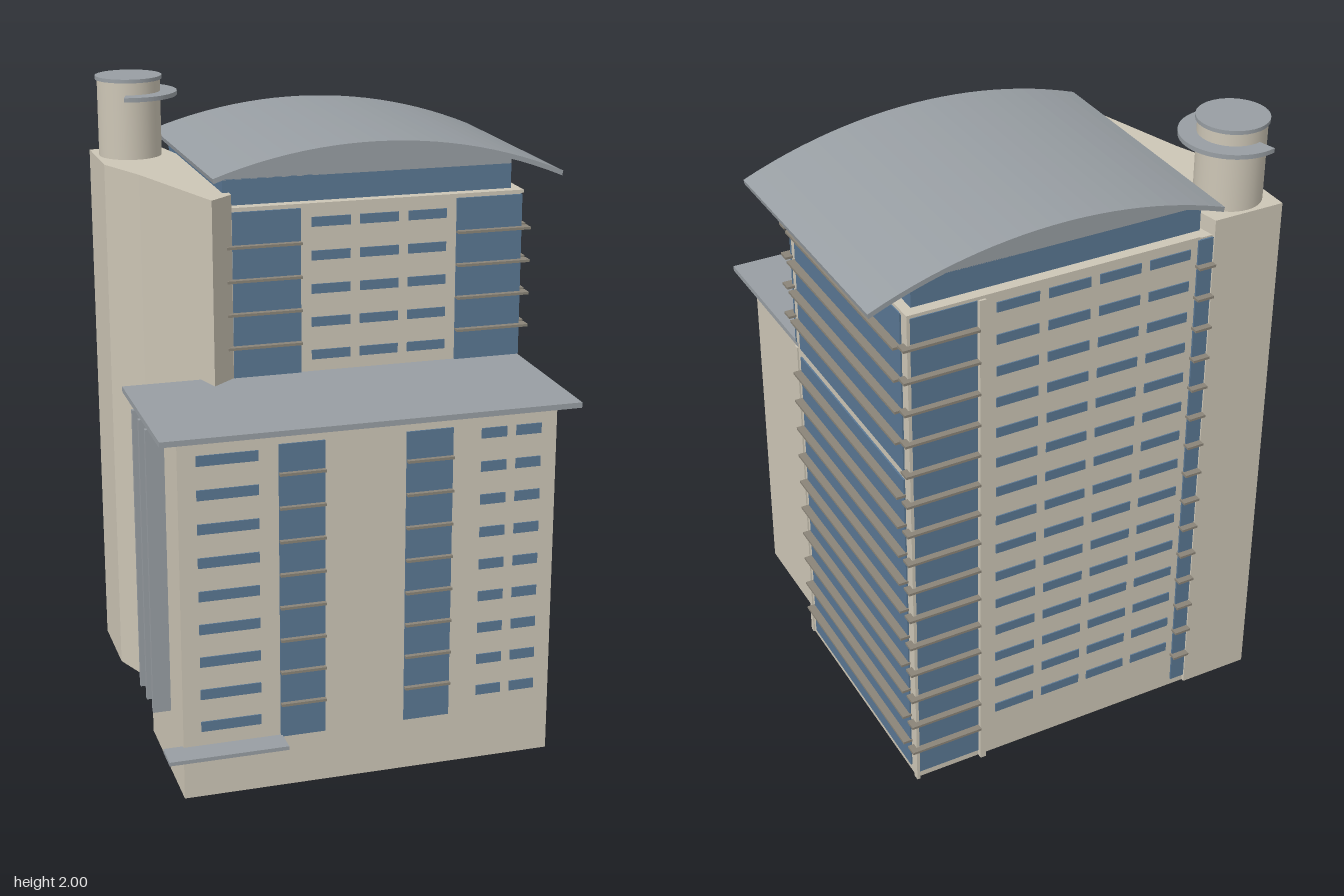
import * as THREE from 'three';

const paint = (name, color, side = THREE.FrontSide) => {
  const m = new THREE.MeshStandardMaterial({ color, side });
  m.name = name;
  return m;
};

export function createModel() {
  const model = new THREE.Group();
  model.name = 'building';
  const wall = paint('beige wall', 0xcdc6b6, THREE.DoubleSide);
  const metal = paint('grey roof', 0x989ea3);
  const glass = paint('blue glass', 0x5a7793);
  const trim = paint('louver brown', 0x8a8478);

  const add = (name, geometry, material) => {
    const mesh = new THREE.Mesh(geometry, material);
    mesh.name = name;
    model.add(mesh);
    return mesh;
  };
  // Box given by its limits on each axis
  const box = (name, material, x0, x1, y0, y1, z0, z1) => {
    const mesh = add(name, new THREE.BoxGeometry(x1 - x0, y1 - y0, z1 - z0), material);
    mesh.position.set((x0 + x1) / 2, (y0 + y1) / 2, (z0 + z1) / 2);
    return mesh;
  };
  // Upright hollow shell from an (x, z) outline, open at the ground
  const shell = (name, outline, height) => {
    const shape = new THREE.Shape(outline.map(([x, z]) => new THREE.Vector2(x, -z)));
    const full = new THREE.ExtrudeGeometry(shape, { depth: height, bevelEnabled: false });
    full.rotateX(-Math.PI / 2);
    const p = full.toNonIndexed ? (full.index ? full.toNonIndexed() : full).attributes.position : null;
    const kept = [];
    for (let i = 0; i < p.count; i += 3) {
      if (Math.max(p.getY(i), p.getY(i + 1), p.getY(i + 2)) < 1e-5) continue;
      for (let k = i; k < i + 3; k++) kept.push(p.getX(k), p.getY(k), p.getZ(k));
    }
    const g = new THREE.BufferGeometry();
    g.setAttribute('position', new THREE.Float32BufferAttribute(kept, 3));
    g.computeVertexNormals();
    return add(name, g, wall);
  };
  const rect = (x0, x1, z0, z1) => [[x0, z0], [x0, z1], [x1, z1], [x1, z0]];
  const step = 0.105;

  // Main volumes
  const xL = -0.41, xR = 0.57, zB = -0.645, zF = 0.16;
  shell('tower', rect(xL, xR, zB, zF), 1.69);
  shell('frontBlock', rect(-0.64, 0.525, 0.15, 0.61), 1.15);
  shell('sideWing', [[-0.64, -0.655], [-0.64, -0.39], [-0.565, -0.2], [-0.435, 0.23],
    [-0.36, 0.165], [-0.36, -0.4], [-0.41, -0.655]], 1.74);
  box('towerCap', wall, -0.36, 0.575, 1.69, 1.7, -0.655, 0.17);

  // Tower corner posts and back pier
  box('frontCornerPost', wall, 0.535, 0.575, 0, 1.15, 0.15, 0.167);
  box('backCornerPost', wall, 0.565, 0.575, 0, 1.69, -0.655, -0.635);
  box('backPier', wall, 0.335, 0.355, 0, 1.69, -0.662, -0.64);

  // Right side glazing
  box('sideGlassLower', glass, xR, 0.575, 0.025, 1.13, -0.61, 0.125);
  box('sideGlassUpper', glass, xR, 0.575, 1.16, 1.685, -0.61, 0.125);
  for (let i = 0; i < 14; i++) {
    const y = i < 10 ? 0.13 + i * step : 1.265 + (i - 10) * step;
    box('sideLouver', trim, 0.565, 0.6, y - 0.004, y + 0.004, -0.615, 0.13);
  }

  // Tower front above the low roof
  for (const [x0, x1, l0, l1] of [[-0.358, -0.145, -0.38, -0.145], [0.357, 0.572, 0.357, 0.595]]) {
    box('towerFrontGlass', glass, x0, x1, 1.165, 1.685, zF, 0.167);
    for (let i = 0; i < 4; i++) {
      const y = 1.265 + i * step;
      box('towerFrontLouver', trim, l0, l1, y - 0.004, y + 0.004, 0.15, 0.187);
    }
  }
  for (let i = 0; i < 5; i++) {
    const y = 1.22 + i * step;
    for (const x of [-0.11, 0.045, 0.2])
      box('towerFrontWindow', glass, x, x + 0.124, y - 0.015, y + 0.015, zF, 0.164);
  }

  // Tower back
  for (const [x0, x1, l0, l1] of [[0.357, 0.565, 0.357, 0.595], [-0.41, -0.36, -0.41, -0.355]]) {
    box('backGlass', glass, x0, x1, 0.025, 1.685, -0.651, zB);
    for (let i = 0; i < 15; i++) {
      const y = 0.13 + i * step;
      box('backLouver', trim, l0, l1, y - 0.004, y + 0.004, -0.672, -0.635);
    }
  }
  for (let i = 0; i < 15; i++) {
    const y = 0.175 + i * step;
    for (const x of [-0.335, -0.17, -0.005, 0.16])
      box('backWindow', glass, x, x + 0.135, y - 0.016, y + 0.016, -0.649, zB);
  }

  // Low block front
  for (let i = 0; i < 9; i++) {
    const y = 0.232 + i * step;
    for (const [x0, x1] of [[-0.585, -0.4], [0.285, 0.365], [0.395, 0.475]])
      box('frontWindow', glass, x0, x1, y - 0.016, y + 0.016, 0.61, 0.614);
  }
  for (const [x0, x1] of [[-0.34, -0.2], [0.05, 0.195]]) {
    box('frontGlassStrip', glass, x0, x1, 0.165, 1.1, 0.61, 0.615);
    for (let i = 0; i < 8; i++) {
      const y = 0.275 + i * step;
      box('frontLouver', trim, x0, x1, y - 0.004, y + 0.004, 0.6, 0.63);
    }
  }
  box('lowRoof', metal, -0.705, 0.57, 1.15, 1.167, 0.15, 0.69);
  box('entranceCanopy', metal, -0.7, -0.335, 0.158, 0.17, 0.6, 0.69);
  for (const z of [0.24, 0.335, 0.43])
    box('sideFin', metal, -0.695, -0.635, 0.21, 1.12, z - 0.008, z + 0.008);

  // Penthouse and vaulted roof
  box('penthouse', glass, -0.38, 0.545, 1.7, 1.78, -0.62, 0.135);
  const cx = 0.09, R = 1.55, cy = 1.88 - R;
  const arc = (x0, x1, r) => Array.from({ length: 25 }, (_, i) => {
    const x = x0 + (x1 - x0) * i / 24;
    return new THREE.Vector2(x, cy + Math.sqrt(r * r - (x - cx) ** 2));
  });
  const extrude = (name, points, z0, z1) => {
    const g = new THREE.ExtrudeGeometry(new THREE.Shape(points), { depth: z1 - z0, bevelEnabled: false });
    g.translate(0, 0, z0);
    add(name, g, metal);
  };
  extrude('vaultedRoof', [...arc(-0.42, 0.7, R), ...arc(0.697, -0.417, R - 0.015)], -0.68, 0.182);
  extrude('roofGable', [...arc(-0.38, 0.545, R - 0.012), new THREE.Vector2(0.545, 1.778),
    new THREE.Vector2(-0.38, 1.778)], -0.62, 0.135);

  // Round roof turret with a partial ring
  const tx = -0.525, tz = -0.54;
  add('turret', new THREE.CylinderGeometry(0.102, 0.102, 0.27, 32), wall).position.set(tx, 1.855, tz);
  add('turretCap', new THREE.CylinderGeometry(0.108, 0.108, 0.012, 32), metal).position.set(tx, 1.994, tz);
  const ring = new THREE.Shape();
  const a = 1.86;
  ring.absarc(0, 0, 0.156, -a, a, false);
  ring.absarc(0, 0, 0.1, a, -a, true);
  const ringGeometry = new THREE.ExtrudeGeometry(ring, { depth: 0.014, bevelEnabled: false, curveSegments: 32 });
  ringGeometry.rotateX(-Math.PI / 2);
  add('turretRing', ringGeometry, metal).position.set(tx, 1.935, tz);

  return model;
}
